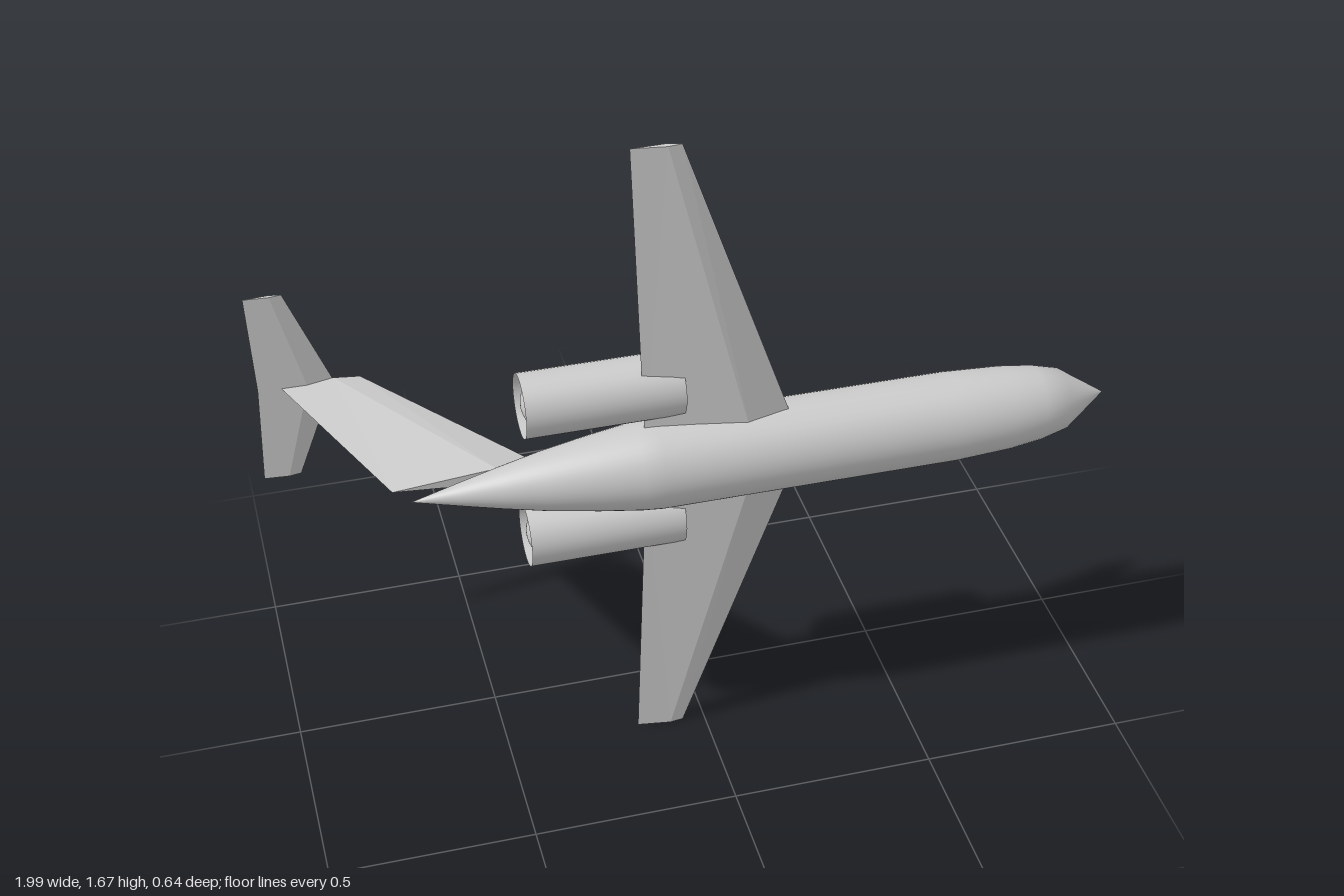
import * as THREE from 'three';

const grey = new THREE.MeshStandardMaterial({ color: 0xcccccc });
grey.name = 'light grey';
const greyFlat = new THREE.MeshStandardMaterial({ color: 0xcccccc, flatShading: true });
greyFlat.name = 'light grey panels';
const greyOpen = new THREE.MeshStandardMaterial({ color: 0xcccccc, side: THREE.DoubleSide });
greyOpen.name = 'light grey shell';

const AXIS_Y = 0.838; // fuselage centre line
const AXIS_Z = 0.212;

// Solid between two four-cornered sections, each counter-clockwise seen from the tip
function loft(name, root, tip) {
  const pos = [];
  const quad = (a, b, c, d) => pos.push(...a, ...b, ...c, ...a, ...c, ...d);
  for (let i = 0; i < 4; i++) {
    const j = (i + 1) % 4;
    quad(root[i], root[j], tip[j], tip[i]);
  }
  quad(...tip);
  quad(root[3], root[2], root[1], root[0]);
  const geo = new THREE.BufferGeometry();
  geo.setAttribute('position', new THREE.Float32BufferAttribute(pos, 3));
  geo.computeVertexNormals();
  const mesh = new THREE.Mesh(geo, greyFlat);
  mesh.name = name;
  return mesh;
}

// Diamond section of a wing: leading edge, upper ridge, trailing edge, lower ridge
const wingSection = (y, lead, leadZ, ridge, topZ, lowZ, trail, trailZ) => [
  [lead, y, leadZ], [ridge, y, topZ], [trail, y, trailZ], [ridge, y, lowZ],
];

// Diamond section of the upright fin
const finSection = (z, lead, ridge, trail, half) => [
  [lead, 0, z], [ridge, -half, z], [trail, 0, z], [ridge, half, z],
];

// Cylinder-like geometries run along y; turn them to point along +x
function alongX(name, geo, material, x, y, z) {
  geo.rotateZ(-Math.PI / 2);
  const mesh = new THREE.Mesh(geo, material);
  mesh.name = name;
  mesh.position.set(x, y, z);
  return mesh;
}

export function createModel() {
  const model = new THREE.Group();
  model.name = 'jet';
  const body = new THREE.Group();
  body.name = 'airframe';
  body.position.y = AXIS_Y;
  model.add(body);

  // Fuselage, tail to nose
  const profile = [
    [0, -0.7], [0.026, -0.59], [0.049, -0.49], [0.07, -0.39], [0.09, -0.27],
    [0.104, -0.17], [0.108, -0.12], [0.108, 0.6], [0.101, 0.74], [0.091, 0.82],
    [0.075, 0.885], [0, 0.995],
  ].map(([r, x]) => new THREE.Vector2(r, x));
  body.add(alongX('fuselage', new THREE.LatheGeometry(profile, 40), grey, 0, 0, AXIS_Z));

  // Fin
  body.add(loft('fin',
    finSection(0.165, -0.37, -0.49, -0.735, 0.021),
    finSection(-0.315, -0.735, -0.8, -0.93, 0.007)));

  // Wings, tailplane and engines on both sides
  for (const side of [1, -1]) {
    const half = new THREE.Group();
    half.name = side > 0 ? 'upperHalf' : 'lowerHalf';
    half.scale.y = side;

    half.add(loft('wing',
      wingSection(0.06, 0.21, 0.227, 0.1, 0.208, 0.249, -0.148, 0.212),
      wingSection(0.837, -0.055, 0.201, -0.088, 0.191, 0.205, -0.17, 0.193)));

    half.add(loft('tailplane',
      wingSection(0, -0.8, -0.315, -0.865, -0.325, -0.305, -0.985, -0.315),
      wingSection(0.266, -0.903, -0.315, -0.933, -0.32, -0.31, -0.995, -0.315)));

    // Open engine shell with a rounded core inside
    half.add(alongX('engineShell',
      new THREE.CylinderGeometry(0.077, 0.077, 0.375, 32, 1, true), greyOpen, -0.242, 0.187, 0.164));
    half.add(alongX('engineCore',
      new THREE.CapsuleGeometry(0.074, 0.222, 10, 32), grey, -0.242, 0.187, 0.164));
    body.add(half);
  }
  return model;
}
